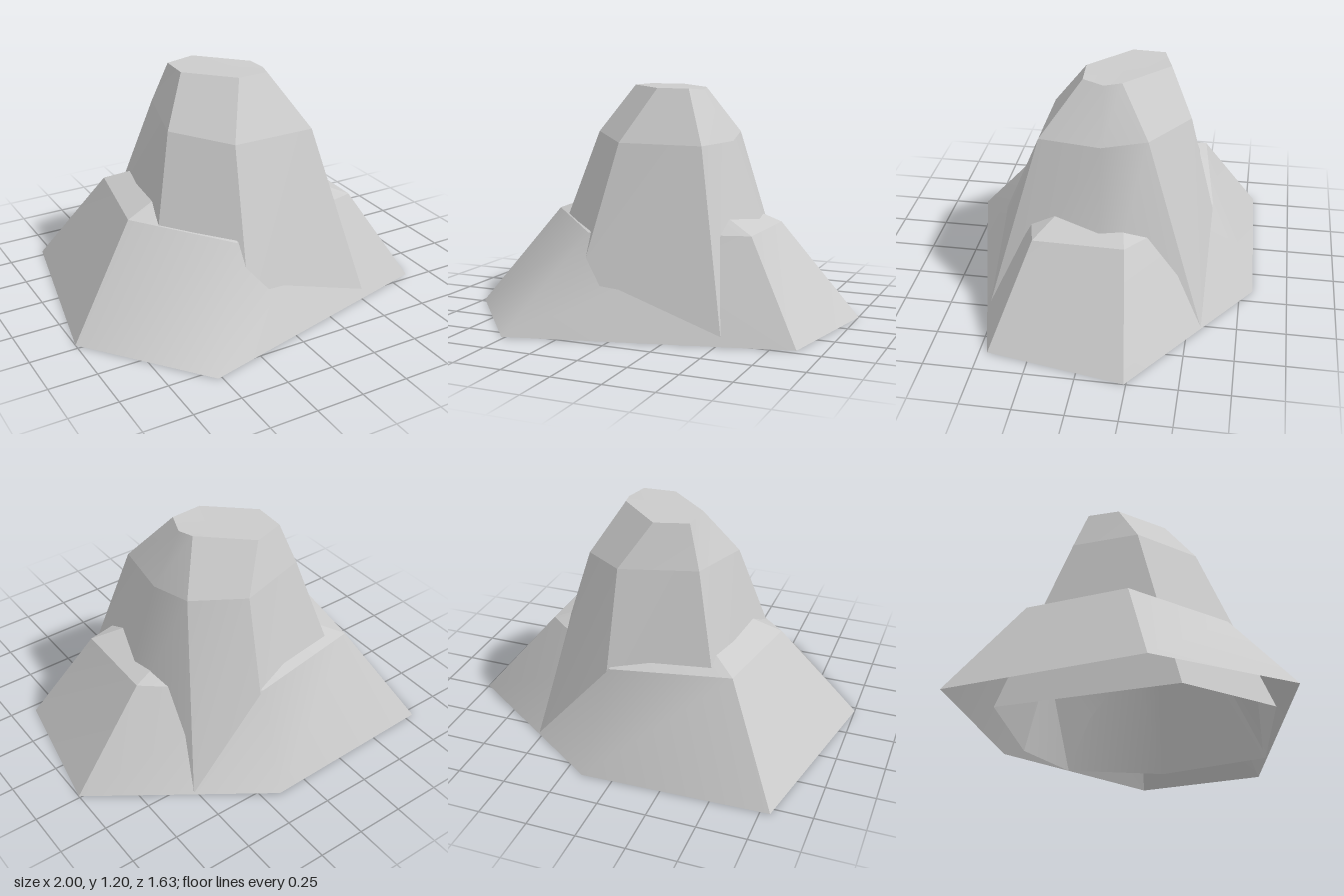
import * as THREE from 'three';
import { mergeGeometries } from 'three/addons/utils/BufferGeometryUtils.js';

const material = new THREE.MeshStandardMaterial({ color: 0xcccccc, side: THREE.DoubleSide });

// One band of quads between two rings; corners listed in soft keep a smooth normal.
function band(lower, upper, soft) {
  const n = lower.length, pos = [], index = [];
  const add = (i) => pos.push(...lower[i], ...upper[i]) / 3 - 2;
  let left = add(0); // column 0 is always a hard corner
  for (let i = 0; i < n; i++) {
    const j = (i + 1) % n;
    const right = add(j);
    index.push(left, left + 1, right, left + 1, right + 1, right);
    left = soft.includes(j) || j === 0 ? right : add(j);
  }
  return build(pos, index);
}

// Fan that closes a ring at the top.
function cap(ring) {
  const n = ring.length;
  const centre = [0, 1, 2].map((k) => ring.reduce((s, p) => s + p[k], 0) / n);
  const index = ring.flatMap((_, i) => [n, (i + 1) % n, i]);
  return build([...ring.flat(), ...centre], index);
}

function build(pos, index) {
  const g = new THREE.BufferGeometry();
  g.setAttribute('position', new THREE.Float32BufferAttribute(pos, 3));
  g.setIndex(index);
  g.computeVertexNormals();
  return g;
}

// Open-bottomed rock made from rings stacked from the ground up.
function rock(name, rings, soft) {
  const parts = rings.slice(1).map((ring, i) => band(rings[i], ring, soft));
  parts.push(cap(rings[rings.length - 1]));
  const mesh = new THREE.Mesh(mergeGeometries(parts), material);
  mesh.name = name;
  return mesh;
}

export function createModel() {
  const group = new THREE.Group();
  group.name = 'rockFormation';

  // Wide low skirt with a gently sloping shoulder
  const shoulder = [
    [-0.51, 0.52, -0.5], [0.1, 0.49, -0.58], [0.59, 0.49, -0.18],
    [0.58, 0.49, 0.28], [-0.22, 0.48, 0.46], [-0.61, 0.52, 0.04],
  ];
  group.add(rock('baseRock', [
    [[-0.8, 0, -0.79], [0.16, 0, -0.82], [1, 0, -0.24],
      [0.87, 0, 0.46], [-0.52, 0, 0.815], [-1, 0, 0.22]],
    shoulder,
    shoulder.map(([x, y, z]) => [x * 0.58, y + 0.1, z * 0.58 - 0.03]),
  ], [1, 4]));

  // Tall seven-sided peak rising through the skirt
  group.add(rock('peakRock', [
    [[-0.53, 0, -0.63], [0.13, 0, -0.7], [0.52, 0, -0.57], [0.7, 0, -0.06],
      [0.525, 0, 0.54], [-0.25, 0, 0.68], [-0.64, 0, 0.3]],
    [[-0.28, 0.98, -0.34], [0.1, 0.98, -0.45], [0.33, 0.95, -0.26], [0.37, 0.92, -0.03],
      [0.32, 0.92, 0.29], [-0.13, 0.92, 0.29], [-0.37, 0.95, 0.03]],
    [[-0.21, 1.195, -0.28], [-0.04, 1.195, -0.33], [0.19, 1.19, -0.11], [0.21, 1.18, -0.02],
      [0.17, 1.19, 0.09], [0, 1.19, 0.1], [-0.22, 1.195, -0.11]],
  ], [3]));

  return group;
}
